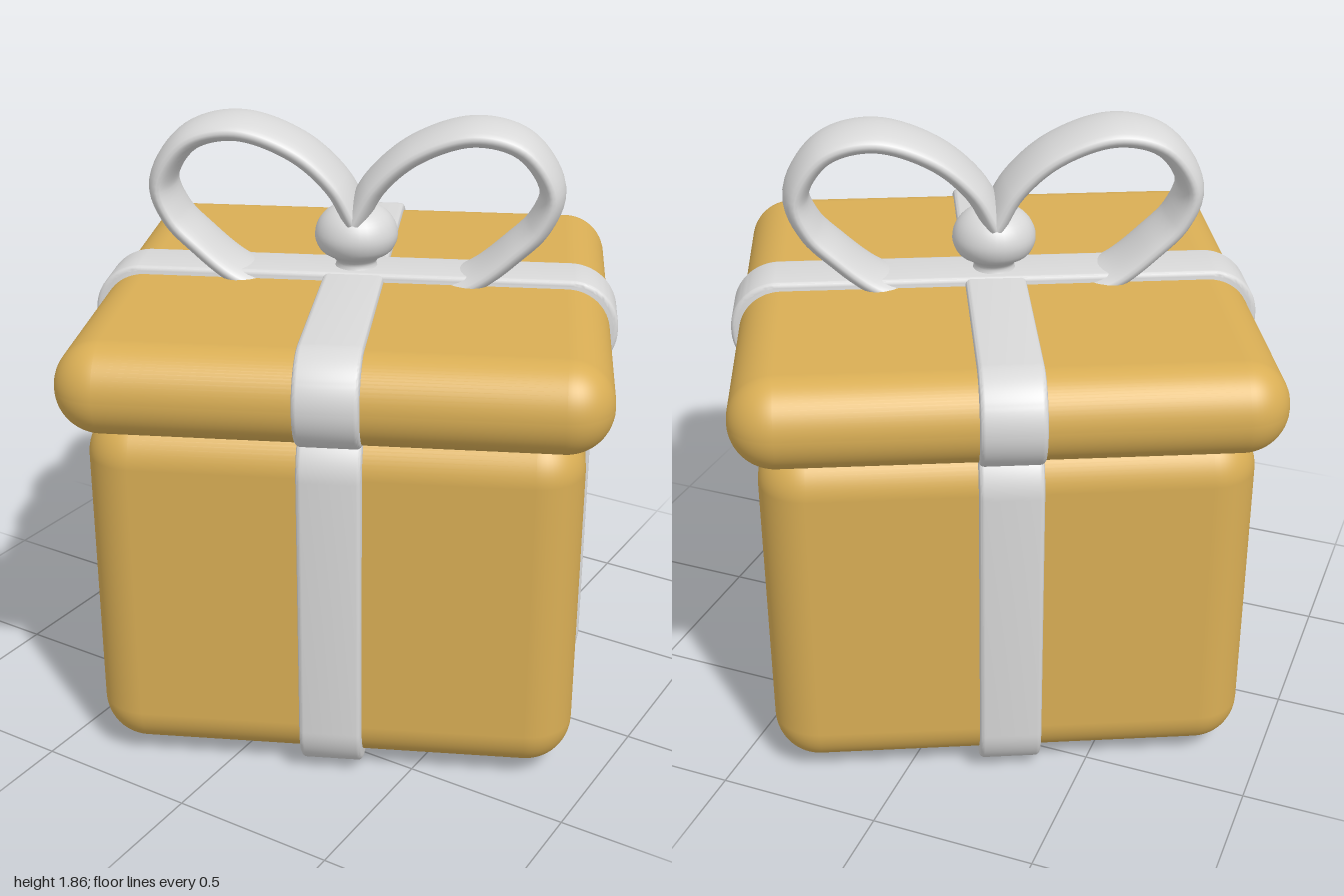
import * as THREE from 'three';
import { toCreasedNormals } from 'three/addons/utils/BufferGeometryUtils.js';
import { RoundedBoxGeometry } from 'three/addons/geometries/RoundedBoxGeometry.js';

const HALF_WIDTH = 0.093; // half the ribbon's width

// Rounded slab in the xy plane; only its rim stands proud of the box
function ribbonBand(half, bottom, top, r) {
  const bevel = 0.015;
  const x = half - bevel, y0 = bottom + bevel, y1 = top - bevel;
  const s = new THREE.Shape();
  s.moveTo(-x + r, y0);
  s.lineTo(x - r, y0);
  s.absarc(x - r, y0 + r, r, -Math.PI / 2, 0, false);
  s.lineTo(x, y1 - r);
  s.absarc(x - r, y1 - r, r, 0, Math.PI / 2, false);
  s.lineTo(-x + r, y1);
  s.absarc(-x + r, y1 - r, r, Math.PI / 2, Math.PI, false);
  s.lineTo(-x, y0 + r);
  s.absarc(-x + r, y0 + r, r, Math.PI, Math.PI * 1.5, false);
  const depth = 2 * (HALF_WIDTH - bevel);
  const g = new THREE.ExtrudeGeometry(s, {
    depth, curveSegments: 12, bevelEnabled: true,
    bevelThickness: bevel, bevelSize: bevel, bevelSegments: 4,
  });
  g.translate(0, 0, -depth / 2);
  return toCreasedNormals(g, 0.6);
}

export function createModel() {
  const model = new THREE.Group();
  const gift = new THREE.Group();
  gift.name = 'giftBox';
  gift.rotation.y = THREE.MathUtils.degToRad(25);
  model.add(gift);

  const gold = new THREE.MeshStandardMaterial({ color: 0xd9ae55 });
  gold.name = 'goldPaper';
  const silver = new THREE.MeshStandardMaterial({ color: 0xd8d8d8 });
  silver.name = 'silverRibbon';

  const add = (name, geometry, material, y = 0) => {
    const mesh = new THREE.Mesh(geometry, material);
    mesh.name = name;
    mesh.position.y = y;
    gift.add(mesh);
    return mesh;
  };

  // Box and overhanging lid
  add('body', new RoundedBoxGeometry(1.434, 1.1, 1.434, 8, 0.14), gold, 0.585);
  add('lid', new RoundedBoxGeometry(1.57, 0.275, 1.57, 8, 0.135), gold, 1.2275);

  // Crossed ribbons around the body and the lid
  add('bodyRibbonAcross', ribbonBand(0.747, 0.008, 1.16, 0.15), silver);
  add('bodyRibbonAlong', ribbonBand(0.747, 0, 1.16, 0.15), silver).rotation.y = Math.PI / 2;
  add('lidRibbonAcross', ribbonBand(0.81, 1.08, 1.39, 0.135), silver);
  add('lidRibbonAlong', ribbonBand(0.81, 1.083, 1.386, 0.135), silver).rotation.y = Math.PI / 2;

  // Bow loops: a planar tube widened into a strap
  const path = new THREE.CatmullRomCurve3([
    [0, 1.55], [0.06, 1.655], [0.18, 1.76], [0.36, 1.82], [0.51, 1.78],
    [0.594, 1.65], [0.56, 1.545], [0.48, 1.46], [0.37, 1.37], [0.25, 1.32],
  ].map(([x, y]) => new THREE.Vector3(x, y, 0)));
  const loop = new THREE.TubeGeometry(path, 64, 0.04, 24);
  loop.scale(1, 1, 3);
  add('bowLoopLeft', loop, silver);
  add('bowLoopRight', loop, silver).rotation.y = Math.PI;

  // Knot with a narrow foot
  const profile = new THREE.SplineCurve([
    [0.075, 1.37], [0.062, 1.4], [0.075, 1.42], [0.112, 1.445], [0.128, 1.49],
    [0.112, 1.54], [0.07, 1.575], [0, 1.587],
  ].map(([x, y]) => new THREE.Vector2(x, y)));
  const points = profile.getPoints(28).map((p) => p.set(Math.max(p.x, 0), p.y));
  add('knot', new THREE.LatheGeometry(points, 32), silver);

  return model;
}
